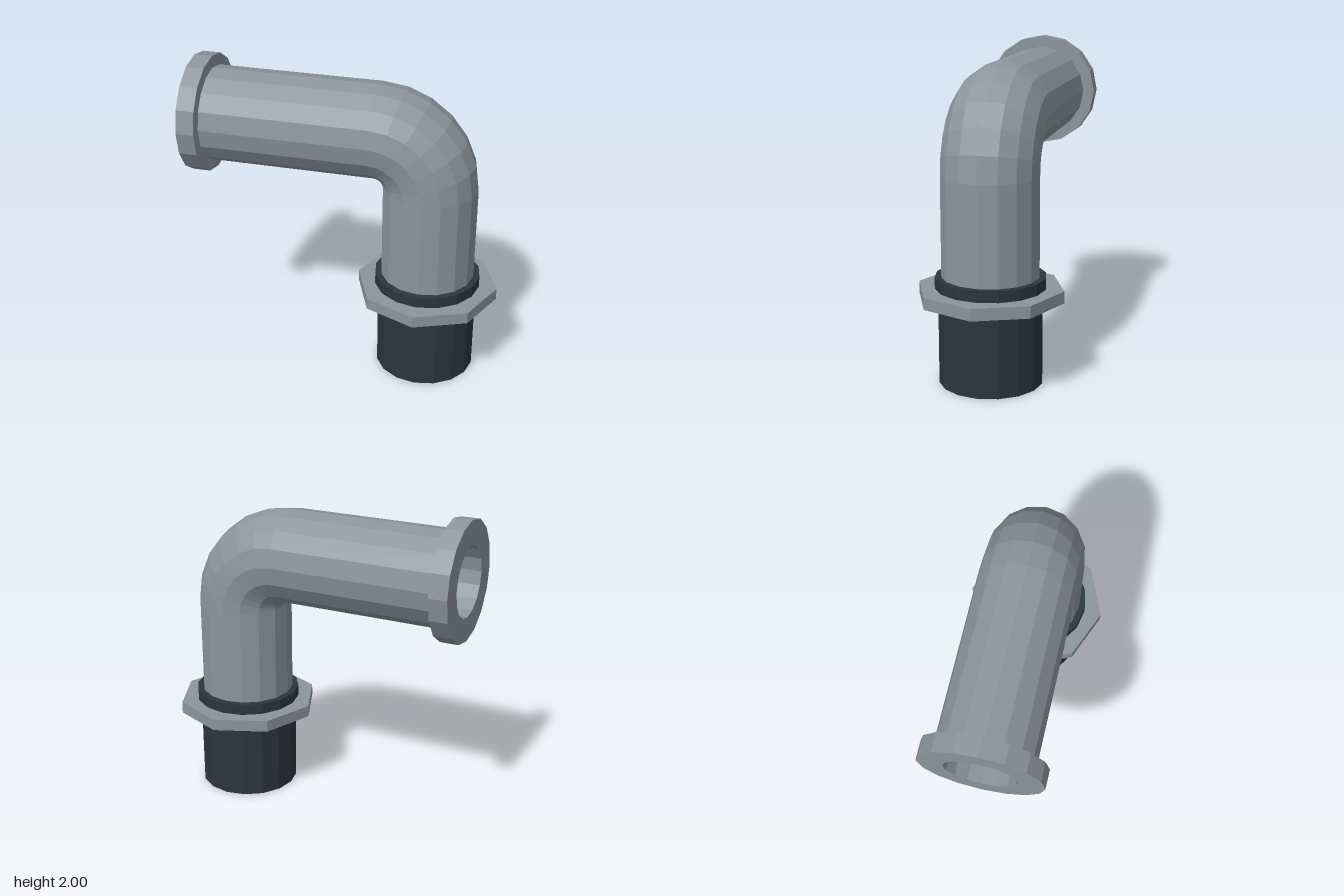
import * as THREE from 'three';

const SIDES = 16;
const CX = 0.53;              // axis of the vertical leg
const CY = 1.625;             // axis height of the horizontal leg
const BEND = 0.34;            // centreline radius of the elbow
const OUTER = 0.3, BORE = 0.22;
const LEFT_END = -0.985;

// Split vertices so every facet is flat
function faceted(geometry) {
  const g = geometry.toNonIndexed();
  g.computeVertexNormals();
  return g;
}

// Rectangular-section ring around the y axis
function ring(inner, outer, y0, y1, sides) {
  const profile = [[inner, y0], [outer, y0], [outer, y1], [inner, y1], [inner, y0]]
    .map(([r, y]) => new THREE.Vector2(r, y));
  return faceted(new THREE.LatheGeometry(profile, sides));
}

// Hollow elbow: rings swept along the outside, then back through the bore
function elbowGeometry() {
  const stations = [{ x: LEFT_END, y: CY, a: 0 }];
  for (let i = 0; i <= 6; i++) {
    const a = (i / 6) * Math.PI / 2;
    stations.push({
      x: CX - BEND + BEND * Math.sin(a),
      y: CY - BEND + BEND * Math.cos(a),
      a,
    });
  }
  stations.push({ x: CX, y: 0, a: Math.PI / 2 });

  const rings = [
    ...stations.map((s) => ({ ...s, r: OUTER })),
    ...stations.map((s) => ({ ...s, r: BORE })).reverse(),
  ];
  const positions = [], index = [];
  rings.forEach(({ x, y, a, r }, i) => {
    const next = (i + 1) % rings.length;
    for (let j = 0; j < SIDES; j++) {
      const t = (j / SIDES) * Math.PI * 2;
      const k = (j + 1) % SIDES;
      const radial = r * Math.cos(t);
      positions.push(x + radial * Math.sin(a), y + radial * Math.cos(a), r * Math.sin(t));
      const p = i * SIDES + j, q = i * SIDES + k;
      const u = next * SIDES + j, v = next * SIDES + k;
      index.push(p, q, u, q, v, u);
    }
  });
  const g = new THREE.BufferGeometry();
  g.setAttribute('position', new THREE.Float32BufferAttribute(positions, 3));
  g.setIndex(index);
  return faceted(g);
}

export function createModel() {
  const model = new THREE.Group();
  model.name = 'pipeElbow';

  const metal = new THREE.MeshStandardMaterial({ color: 0x8b959d });
  metal.name = 'grey metal';
  const rubber = new THREE.MeshStandardMaterial({ color: 0x2c353e });
  rubber.name = 'dark rubber';

  const add = (name, geometry, material, x = 0, y = 0) => {
    const mesh = new THREE.Mesh(geometry, material);
    mesh.name = name;
    mesh.position.set(x, y, 0);
    model.add(mesh);
  };

  // Bent tube
  add('elbowPipe', elbowGeometry(), metal);

  // Collar on the horizontal end
  const flange = ring(OUTER, 0.375, 0, 0.115, SIDES).rotateZ(-Math.PI / 2);
  add('endFlange', flange, metal, LEFT_END, CY);

  // Fittings on the vertical end
  add('threadSleeve', ring(OUTER, 0.32, 0, 0.5, SIDES), rubber, CX);
  add('lockNut', ring(OUTER, 0.455, 0.525, 0.6, 8), metal, CX);
  add('sealRing', ring(OUTER, 0.34, 0.6, 0.67, SIDES), rubber, CX);

  return model;
}
